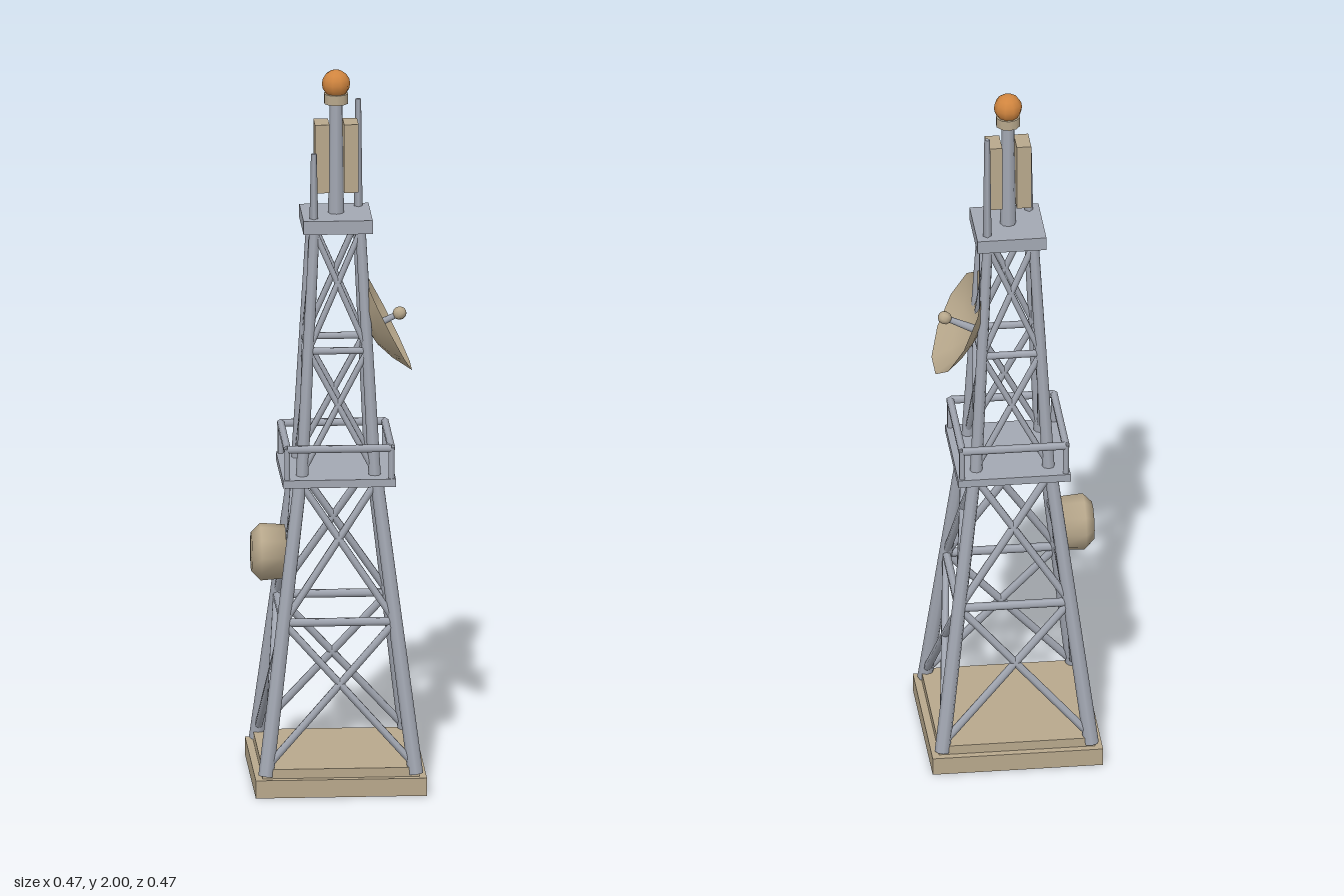
import * as THREE from 'three';

const steel = new THREE.MeshStandardMaterial({ color: 0xa3a8b3 });
steel.name = 'steel grey';
const tan = new THREE.MeshStandardMaterial({ color: 0xb8a88c, side: THREE.DoubleSide });
tan.name = 'tan';
const orange = new THREE.MeshStandardMaterial({ color: 0xd0853f });
orange.name = 'beacon orange';

const V = (x, y, z) => new THREE.Vector3(x, y, z);

function add(parent, name, geo, mat, x = 0, y = 0, z = 0) {
  const m = new THREE.Mesh(geo, mat);
  m.name = name;
  m.position.set(x, y, z);
  parent.add(m);
  return m;
}

function box(parent, name, mat, w, y0, y1, d = w, x = 0) {
  return add(parent, name, new THREE.BoxGeometry(w, y1 - y0, d), mat, x, (y0 + y1) / 2, 0);
}

// tapered rod from point a to point b
function rod(parent, name, a, b, r0, r1 = r0, sides = 6, mat = steel) {
  const m = add(parent, name, new THREE.CylinderGeometry(r1, r0, a.distanceTo(b), sides), mat);
  m.position.copy(a).add(b).multiplyScalar(0.5);
  m.quaternion.setFromUnitVectors(V(0, 1, 0), b.clone().sub(a).normalize());
  return m;
}

function lathe(parent, name, profile, mat, sides = 10) {
  const pts = profile.map(([r, y]) => new THREE.Vector2(r, y));
  return add(parent, name, new THREE.LatheGeometry(pts, sides), mat);
}

// half width of the tower at height y
function half(y) {
  return y < 0.87
    ? THREE.MathUtils.mapLinear(y, 0.05, 0.87, 0.206, 0.104)
    : THREE.MathUtils.mapLinear(y, 0.87, 1.57, 0.1, 0.063);
}

const corners = [[1, 1], [1, -1], [-1, -1], [-1, 1]];
const at = ([sx, sz], y) => V(sx * half(y), y, sz * half(y));

export function createModel() {
  const model = new THREE.Group();
  model.name = 'radioTower';

  // stepped foundation
  box(model, 'foundation', tan, 0.47, 0, 0.05);
  box(model, 'foundationStep', tan, 0.43, 0.05, 0.076);

  // legs, cross braces and horizontal struts
  const frame = new THREE.Group();
  frame.name = 'latticeFrame';
  model.add(frame);
  const bays = [[0.08, 0.475, 0.011], [0.475, 0.86, 0.011], [0.885, 1.225, 0.009], [1.225, 1.56, 0.009]];
  corners.forEach((c, i) => {
    const n = corners[(i + 1) % 4];
    rod(frame, 'lowerLeg', at(c, 0.055), at(c, 0.865), 0.021, 0.018, 8);
    rod(frame, 'upperLeg', at(c, 0.871), at(c, 1.57), 0.017, 0.014, 8);
    for (const [y0, y1, r] of bays) {
      rod(frame, 'crossBrace', at(c, y0), at(n, y1), r);
      rod(frame, 'crossBrace', at(n, y0), at(c, y1), r);
    }
    rod(frame, 'strut', at(c, 0.475), at(n, 0.475), 0.012);
    rod(frame, 'strut', at(c, 1.225), at(n, 1.225), 0.01);
  });

  // middle platform with guard rail
  box(model, 'middlePlatform', steel, 0.31, 0.856, 0.878);
  const rail = new THREE.Group();
  rail.name = 'guardRail';
  model.add(rail);
  const R = 0.143;
  corners.forEach(([sx, sz], i) => {
    const [nx, nz] = corners[(i + 1) % 4];
    rod(rail, 'railPost', V(sx * R, 0.87, sz * R), V(sx * R, 0.965, sz * R), 0.009);
    rod(rail, 'railBar', V(sx * R, 0.963, sz * R), V(nx * R, 0.963, nz * R), 0.011);
  });

  // top platform, mast and beacon
  box(model, 'topPlatform', steel, 0.19, 1.558, 1.596);
  rod(model, 'mast', V(0, 1.59, 0), V(0, 1.91, 0), 0.022, 0.017, 8);
  rod(model, 'beaconCollar', V(0, 1.906, 0), V(0, 1.934, 0), 0.034, 0.034, 10, tan);
  add(model, 'beacon', new THREE.SphereGeometry(0.039, 10, 8), orange, 0, 1.961, 0);

  // panel antennas on either side of the mast
  for (const s of [1, -1]) box(model, 'panelAntenna', tan, 0.04, 1.66, 1.853, 0.072, s * 0.04);

  // whip antennas
  rod(model, 'tallWhip', V(0.065, 1.59, -0.065), V(0.065, 1.9, -0.065), 0.012, 0.008, 4);
  rod(model, 'shortWhip', V(-0.065, 1.59, 0.065), V(-0.065, 1.78, 0.065), 0.012, 0.008, 4);

  // large dish on the left side, tilted upward
  const dish = new THREE.Group();
  dish.name = 'dish';
  dish.position.set(0.086, 1.263, 0);
  dish.rotation.z = -THREE.MathUtils.degToRad(63.5);
  model.add(dish);
  lathe(dish, 'dishBowl', [[0, 0], [0.05, 0.007], [0.1, 0.027], [0.155, 0.06]], tan);
  rod(dish, 'feedArm', V(0, 0, 0), V(0, 0.09, 0), 0.012, 0.008);
  add(dish, 'feedHorn', new THREE.SphereGeometry(0.019, 8, 6), tan, 0, 0.099, 0);
  rod(dish, 'dishMount', V(0, -0.03, 0), V(0, 0.002, 0), 0.014);

  // drum antenna on the right side, with its mounting bar
  const drum = new THREE.Group();
  drum.name = 'drumAntenna';
  drum.position.set(-0.14, 0.637, 0);
  drum.rotation.z = Math.PI / 2;
  model.add(drum);
  lathe(drum, 'drumShell', [[0, 0], [0.074, 0], [0.074, 0.055], [0.079, 0.055], [0.079, 0.07], [0.053, 0.093], [0, 0.093]], tan).geometry =
    new THREE.LatheGeometry([[0, 0], [0.074, 0], [0.079, 0.068], [0.054, 0.093], [0, 0.094]].map(p => new THREE.Vector2(...p)), 10);
  const h = half(0.637);
  rod(model, 'drumMountBar', V(-h, 0.637, -h + 0.01), V(-h, 0.637, h - 0.01), 0.014);

  return model;
}
